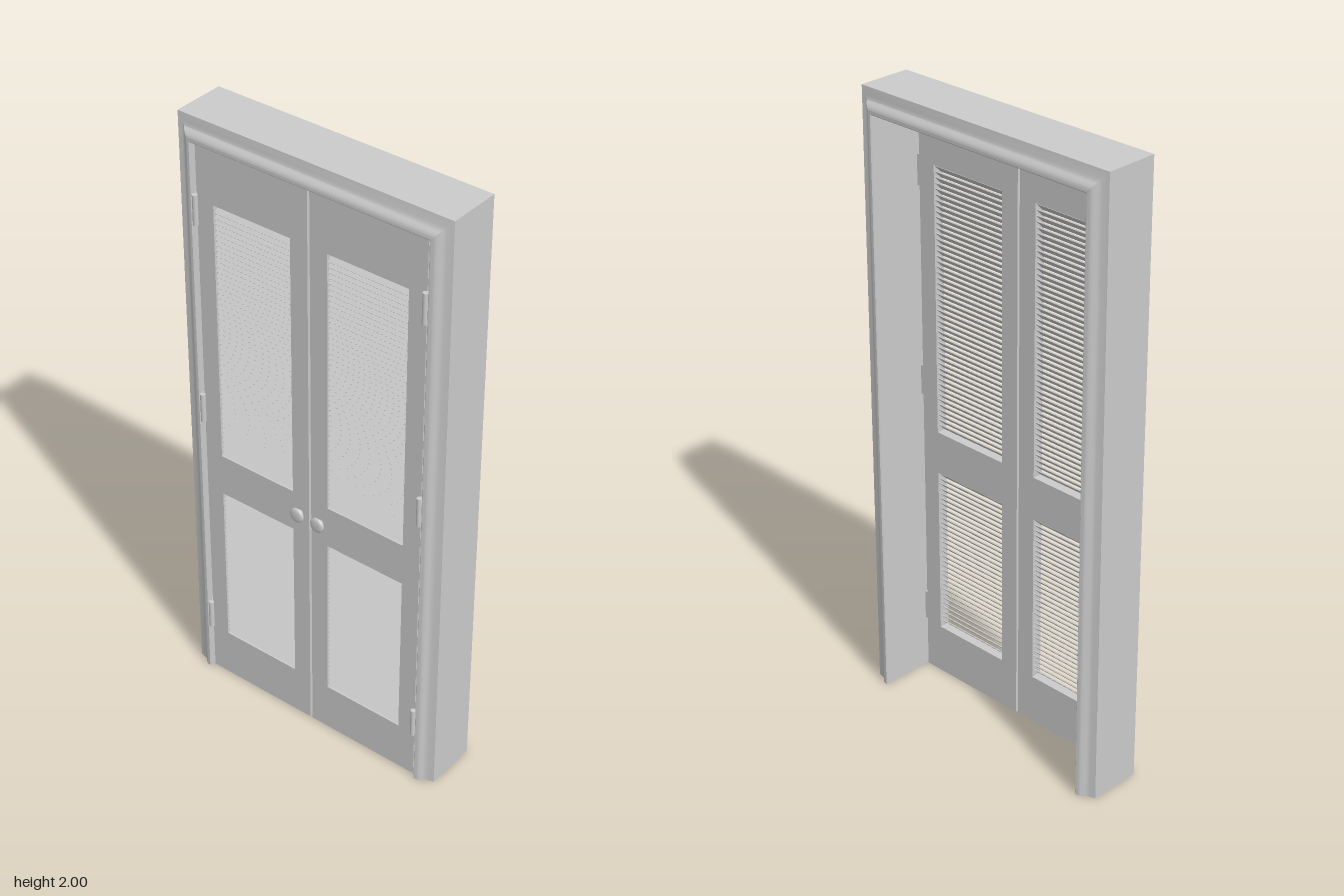
import * as THREE from 'three';
import { toCreasedNormals } from 'three/addons/utils/BufferGeometryUtils.js';

const HALF_W = 0.47, HEIGHT = 2;
const DOOR_BACK = 0.057, DOOR_FRONT = 0.092;
const DOOR_IN = 0.004, DOOR_OUT = 0.4, DOOR_TOP = 1.926, DOOR_BOTTOM = 0.004;
const OPEN_IN = 0.065, OPEN_OUT = 0.34;
const OPENINGS = [[0.17, 0.735], [0.877, 1.75]];

const material = new THREE.MeshStandardMaterial({ color: 0xcccccc });

function part(name, geometry, x = 0, y = 0, z = 0) {
  const mesh = new THREE.Mesh(geometry, material);
  mesh.name = name;
  mesh.position.set(x, y, z);
  return mesh;
}

// Jamb and both moulded casings: one profile swept round three sides with mitred corners.
// Each profile point is [distance in from the outer edge, z].
function frameGeometry() {
  const moulding = [[0, 0], [0.02, 0.005], [0.03, 0.009], [0.035, 0.015],
    [0.042, 0.021], [0.05, 0.025], [0.058, 0.025], [0.061, 0.022]];
  const profile = [
    ...moulding.map(([d, h]) => [d, 0.079 + h]),
    ...moulding.map(([d, h]) => [d, -0.094 - h]).reverse(),
  ];
  const path = [[-1, 0], [-1, 1], [1, 1], [1, 0]];
  const point = (i, j) => {
    const [d, z] = profile[i % profile.length];
    const [side, top] = path[j];
    return [side * (HALF_W - d), top * (HEIGHT - d * 1.15), z];
  };
  const pos = [];
  const triangle = (a, b, c) => pos.push(...a, ...b, ...c);
  for (let j = 0; j < 3; j++) {
    for (let i = 0; i < profile.length; i++) {
      const a = point(i, j), b = point(i + 1, j), c = point(i + 1, j + 1), d = point(i, j + 1);
      triangle(a, b, c);
      triangle(a, c, d);
    }
  }
  // Feet of the two uprights
  const outline = profile.map(([d, z]) => new THREE.Vector2(d, z));
  for (const [a, b, c] of THREE.ShapeUtils.triangulateShape(outline, [])) {
    triangle(point(a, 0), point(b, 0), point(c, 0));
    triangle(point(a, 3), point(c, 3), point(b, 3));
  }
  const geometry = new THREE.BufferGeometry();
  geometry.setAttribute('position', new THREE.Float32BufferAttribute(pos, 3));
  return toCreasedNormals(geometry, 0.6);
}

function rectangle(path, x0, y0, x1, y1) {
  path.moveTo(x0, y0);
  path.lineTo(x1, y0);
  path.lineTo(x1, y1);
  path.lineTo(x0, y1);
  path.closePath();
  return path;
}

// One door leaf; side is +1 for the model's left, -1 for its right
function doorLeaf(side) {
  const leaf = new THREE.Group();
  leaf.name = side > 0 ? 'leftDoor' : 'rightDoor';
  const span = (a, b) => (side > 0 ? [a, b] : [-b, -a]);

  // Stiles and rails
  const [x0, x1] = span(DOOR_IN, DOOR_OUT);
  const [h0, h1] = span(OPEN_IN, OPEN_OUT);
  const shape = rectangle(new THREE.Shape(), x0, DOOR_BOTTOM, x1, DOOR_TOP);
  for (const [y0, y1] of OPENINGS) shape.holes.push(rectangle(new THREE.Path(), h0, y0, h1, y1));
  leaf.add(part('doorFrame', new THREE.ExtrudeGeometry(shape,
    { depth: DOOR_FRONT - DOOR_BACK, bevelEnabled: false }), 0, 0, DOOR_BACK));

  // Overlapping louvre slats, sloping down towards the front
  const slat = new THREE.BoxGeometry(OPEN_OUT - OPEN_IN, 0.004, 0.036);
  slat.rotateX(Math.PI / 4);
  for (const [y0, y1] of OPENINGS) {
    const louvres = new THREE.Group();
    louvres.name = 'louvres';
    const low = y0 + 0.0145, high = y1 - 0.0145;
    const count = Math.round((high - low) / 0.0175);
    for (let i = 0; i <= count; i++) {
      louvres.add(part('slat', slat, (h0 + h1) / 2, low + (high - low) * i / count,
        (DOOR_BACK + DOOR_FRONT) / 2));
    }
    leaf.add(louvres);
  }

  // Round knob on a short neck
  const knobProfile = [[0.012, 0], [0.012, 0.008], [0.02, 0.01], [0.0245, 0.014],
    [0.0245, 0.018], [0.021, 0.022], [0.013, 0.024], [0, 0.0245]]
    .map(([r, h]) => new THREE.Vector2(r, h));
  const knob = new THREE.LatheGeometry(knobProfile, 28);
  knob.rotateX(Math.PI / 2);
  leaf.add(part('knob', knob, side * 0.038, 0.81, DOOR_FRONT - 0.001));

  // Hinges: barrel plus a leaf plate in the gap
  const barrel = new THREE.CylinderGeometry(0.0085, 0.0085, 0.098, 16);
  const plate = new THREE.BoxGeometry(0.011, 0.098, DOOR_FRONT - DOOR_BACK);
  for (const y of [0.225, 1.035, 1.718]) {
    const hinge = new THREE.Group();
    hinge.name = 'hinge';
    hinge.add(part('hingeBarrel', barrel, side * 0.4, y, 0.1));
    hinge.add(part('hingePlate', plate, side * 0.4045, y, (DOOR_BACK + DOOR_FRONT) / 2));
    leaf.add(hinge);
  }
  return leaf;
}

export function createModel() {
  const model = new THREE.Group();
  model.name = 'louvredDoubleDoor';
  model.add(part('doorSurround', frameGeometry()));
  for (const side of [-1, 1]) model.add(doorLeaf(side));
  return model;
}
